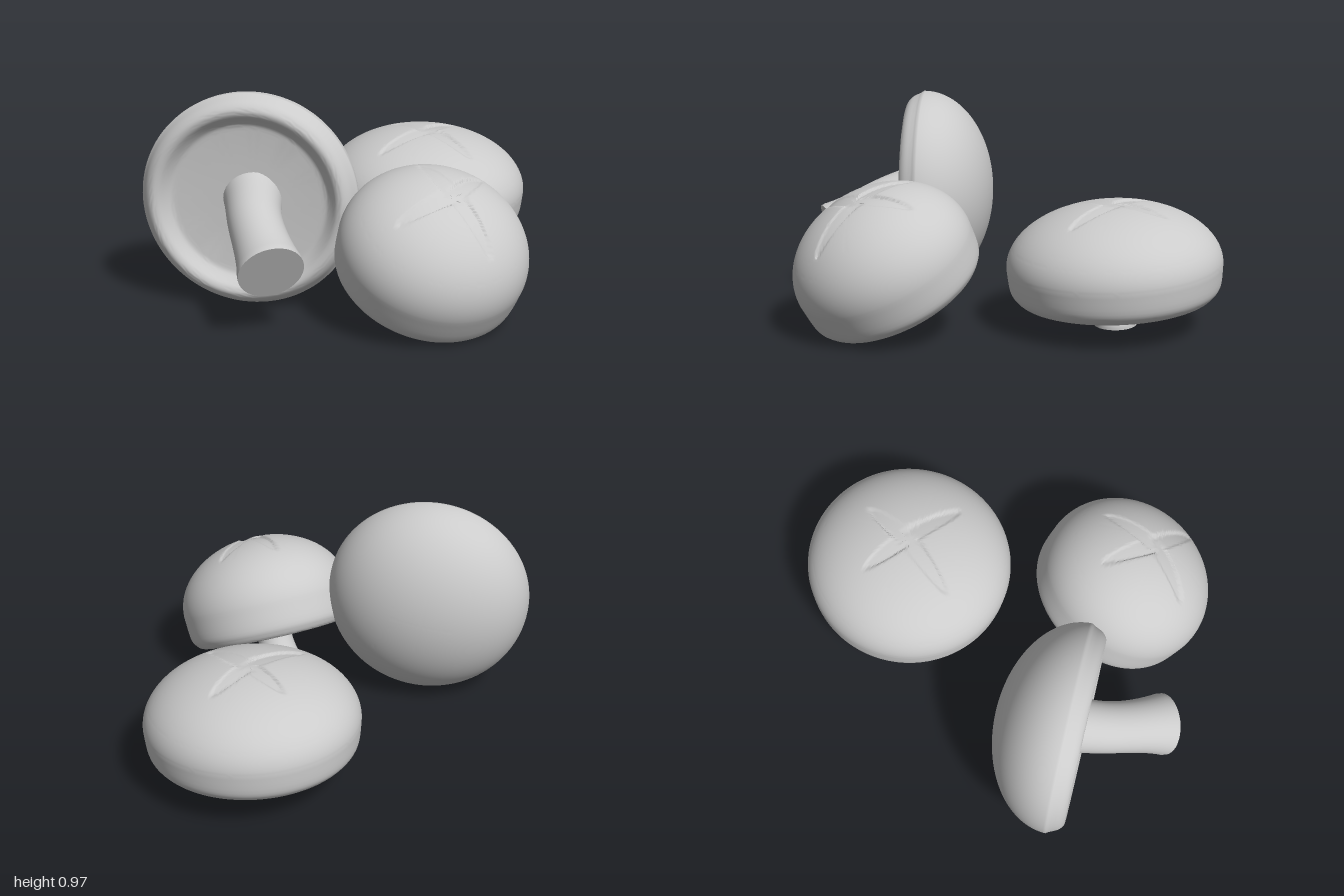
import * as THREE from 'three';
import { toCreasedNormals } from 'three/addons/utils/BufferGeometryUtils.js';

const material = new THREE.MeshStandardMaterial({ color: 0xcccccc });
const V = (x, y, z) => new THREE.Vector3(x, y, z);

// Depth of the star-shaped cut at a point on the cap; each arm runs from the centre to a tip
function cutDepth(x, z, tips, cx, cz) {
  let depth = 0;
  for (const [tx, tz] of tips) {
    const len = Math.hypot(tx, tz), ux = tx / len, uz = tz / len;
    const along = (x - cx) * ux + (z - cz) * uz;
    const across = (x - cx) * uz - (z - cz) * ux;
    if (along < 0 || along > len) continue;
    const half = 0.045 * Math.sqrt(1 - (along / len) ** 2);
    const edge = THREE.MathUtils.smoothstep(half - Math.abs(across), 0, 0.01);
    depth = Math.max(depth, edge * (0.009 + 0.005 * across / 0.045));
  }
  return depth;
}

// Cap with a hollow underside, rolled rim and elliptical dome; y = 0 is the rim's lowest ring
function makeCap(radius, height, widest, tips = []) {
  const under = new THREE.SplineCurve([
    [0.66, 0.055], [0.72, 0.05], [0.77, 0.03], [0.82, 0.006], [0.88, 0.0],
    [0.94, 0.022], [0.98, 0.06], [1, widest],
  ].map(([r, y]) => new THREE.Vector2(r * radius, Math.min(y, widest))));
  const profile = [new THREE.Vector2(0, 0.06), new THREE.Vector2(radius * 0.35, 0.058), ...under.getPoints(28)];
  const rows = 48;
  for (let i = 1; i <= rows; i++) {
    const a = (i / rows) * Math.PI / 2;
    profile.push(new THREE.Vector2(i === rows ? 0 : Math.cos(a) * radius, widest + Math.sin(a) * (height - widest)));
  }
  const geometry = new THREE.LatheGeometry(profile, tips.length ? 176 : 96);
  const p = geometry.attributes.position;
  for (let i = 0; i < p.count; i++) {
    if (p.getY(i) <= widest) continue;
    p.setY(i, p.getY(i) - cutDepth(p.getX(i), p.getZ(i), tips, 0, -0.02));
  }
  geometry.deleteAttribute('uv');
  geometry.deleteAttribute('normal');
  return toCreasedNormals(geometry, 0.9);
}

// Stem swept from the cap to a flared foot; the last ring closes the foot
function makeStem(points, neck, foot) {
  const rings = 26, sides = 40;
  const curve = new THREE.CatmullRomCurve3(points);
  const geometry = new THREE.TubeGeometry(curve, rings, 1, sides);
  const p = geometry.attributes.position, v = V(0, 0, 0);
  for (let i = 0; i <= rings; i++) {
    const t = Math.min(1, i / (rings - 1));
    const from = curve.getPointAt(i / rings), to = curve.getPointAt(t);
    let r = neck + (foot - neck) * (t ** 4 + 0.5 * (1 - t) ** 4);
    if (i === rings - 1) r *= 0.97;
    if (i === rings) r = 0;
    for (let j = 0; j <= sides; j++) {
      const k = i * (sides + 1) + j;
      v.fromBufferAttribute(p, k).sub(from).multiplyScalar(r).add(to);
      p.setXYZ(k, v.x, v.y, v.z);
    }
  }
  geometry.deleteAttribute('uv');
  geometry.deleteAttribute('normal');
  return toCreasedNormals(geometry, 0.8);
}

const mushrooms = [
  { // upright
    name: 'backMushroom', axis: V(0.05, 1, 0.04), rim: V(0.125, 0.135, -0.515),
    cap: [0.488, 0.43, 0.15, [[0.08, -0.23], [-0.21, -0.12], [-0.16, 0.28], [0.26, 0.17]]],
    stem: [[V(0.13, 0.23, -0.512), V(0.12, 0, -0.515)], 0.083, 0.1],
  },
  { // leaning on its rim
    name: 'leaningMushroom', axis: V(0.34, 0.88, 0.32), rim: V(0.388, 0.17, 0.425),
    cap: [0.42, 0.49, 0.17, [[0.07, -0.25], [-0.2, -0.18], [-0.16, 0.24], [0.25, 0.18]]],
    stem: [[V(0.43, 0.275, 0.47), V(0.345, 0.055, 0.39)], 0.083, 0.104],
  },
  { // lying on its side, underside forward
    name: 'fallenMushroom', axis: V(-0.17, 0, -0.985), rim: V(-0.367, 0.482, 0.6),
    cap: [0.484, 0.415, 0.075],
    stem: [[V(-0.37, 0.49, 0.51), V(-0.295, 0.435, 0.68), V(-0.14, 0.305, 0.905)], 0.116, 0.147],
  },
];

export function createModel() {
  const model = new THREE.Group();
  model.name = 'mushrooms';
  for (const m of mushrooms) {
    const group = new THREE.Group();
    group.name = m.name;
    const cap = new THREE.Mesh(makeCap(...m.cap), material);
    cap.name = 'cap';
    cap.position.copy(m.rim);
    cap.quaternion.setFromUnitVectors(V(0, 1, 0), m.axis.clone().normalize());
    const stem = new THREE.Mesh(makeStem(...m.stem), material);
    stem.name = 'stem';
    group.add(cap, stem);
    model.add(group);
  }
  return model;
}
